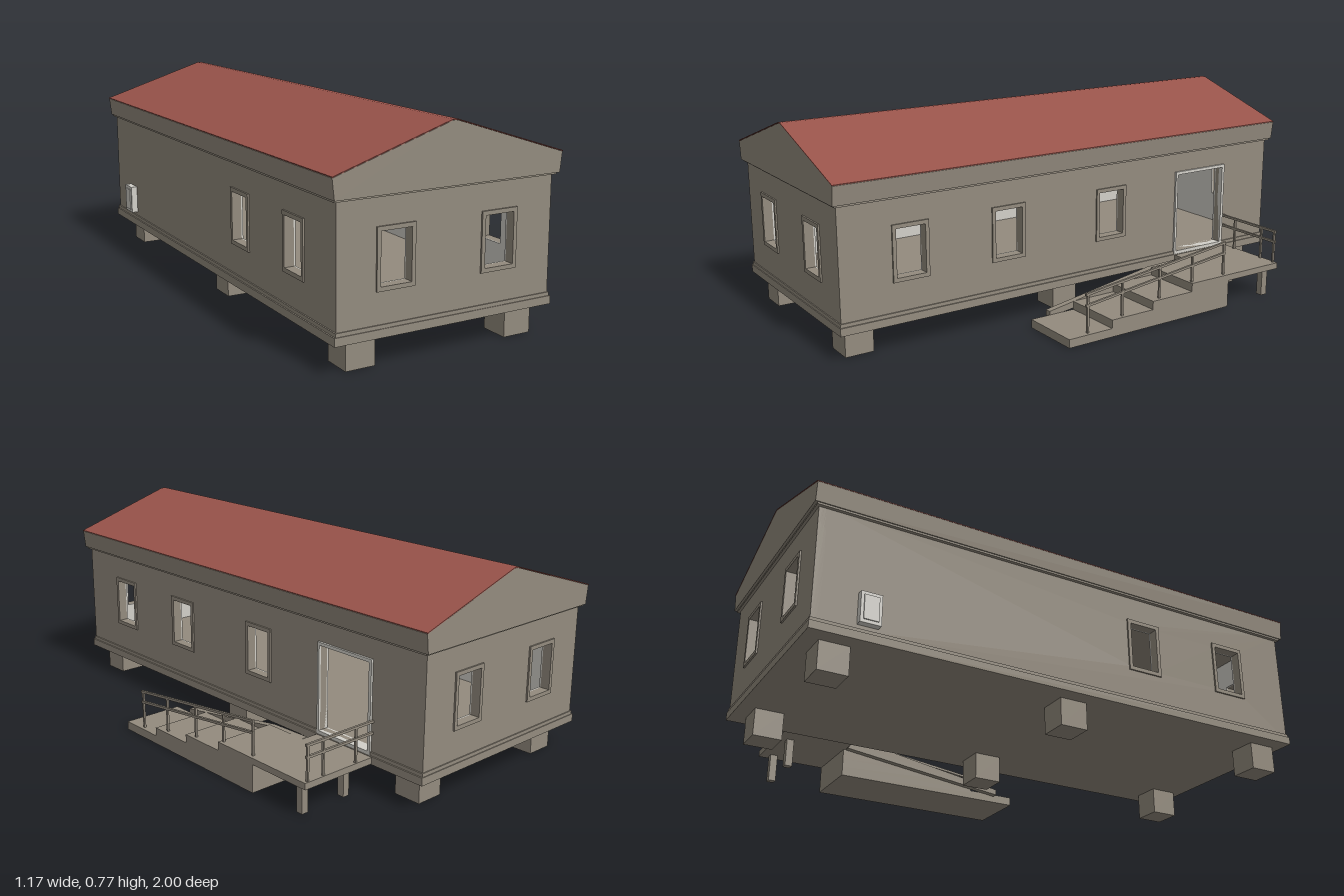
import * as THREE from 'three';

const mat = (name, color) => {
  const m = new THREE.MeshStandardMaterial({ color });
  m.name = name;
  return m;
};

export function createModel() {
  const root = new THREE.Group();
  root.name = 'raisedCabin';
  const taupe = mat('taupe', 0x938b7e);
  const red = mat('roofRed', 0x98534a);
  const light = mat('paleGrey', 0xd2d0c9);

  const add = (name, geo, m, parent = root) => {
    const mesh = new THREE.Mesh(geo, m);
    mesh.name = name;
    parent.add(mesh);
    return mesh;
  };
  // box given by its min and max on each axis
  const box = (name, m, x0, x1, y0, y1, z0, z1, parent) =>
    add(name, new THREE.BoxGeometry(x1 - x0, y1 - y0, z1 - z0), m, parent)
      .position.set((x0 + x1) / 2, (y0 + y1) / 2, (z0 + z1) / 2);
  const extrude = (pts, depth, holes = []) => {
    const s = new THREE.Shape(pts.map(p => new THREE.Vector2(...p)));
    for (const [a, b, c, d] of holes)
      s.holes.push(new THREE.Path([[a, c], [a, d], [b, d], [b, c]].map(p => new THREE.Vector2(...p))));
    return new THREE.ExtrudeGeometry(s, { depth, bevelEnabled: false });
  };
  const rect = (a, b, c, d) => [[a, c], [b, c], [b, d], [a, d]];
  // panel spanning u,y; side panels run along z and grow towards -x
  const panel = (name, m, outline, holes, at, depth, side) => {
    const mesh = add(name, extrude(outline, depth, holes), m);
    if (side) {
      mesh.rotation.y = -Math.PI / 2;
      mesh.position.x = at + depth;
    } else mesh.position.z = at;
  };

  // walls with window openings, pale inner lining and raised frames
  const opening = c => [c - 0.057, c + 0.057, 0.268, 0.445];
  const door = [-0.735, -0.495, 0.145, 0.465];
  const walls = [
    { n: 'front', side: false, out: 0.98, dir: 1, u: [-0.56, 0.265], win: [-0.348, 0.05] },
    { n: 'back', side: false, out: -0.98, dir: -1, u: [-0.56, 0.265], win: [-0.348, 0.05] },
    { n: 'left', side: true, out: 0.265, dir: 1, u: [-0.98, 0.98], win: [0.71, 0.31, -0.16], door },
    { n: 'right', side: true, out: -0.56, dir: -1, u: [-0.98, 0.98], win: [0.71, 0.31] },
  ];
  for (const w of walls) {
    const holes = w.win.map(opening);
    if (w.door) holes.push(w.door);
    const layer = (name, m, outline, hs, inset, depth) =>
      panel(name, m, outline, hs, w.dir > 0 ? w.out - inset - depth : w.out + inset, depth, w.side);
    layer(w.n + 'Wall', taupe, rect(w.u[0], w.u[1], 0.12, 0.57), holes, 0, 0.03);
    layer(w.n + 'Lining', light, rect(w.u[0] + 0.03, w.u[1] - 0.03, 0.14, 0.565), holes, 0.03, 0.006);
    for (const c of w.win)
      layer(w.n + 'WindowFrame', taupe, rect(c - 0.071, c + 0.071, 0.253, 0.46), [opening(c)], -0.006, 0.025);
    if (w.door)
      layer('doorFrame', light, rect(-0.747, -0.485, 0.131, 0.477), [w.door], -0.008, 0.045);
  }

  // floor slab with stepped plinth, and trim under the eaves
  box('floorSlab', taupe, -0.57, 0.275, 0.103, 0.132, -0.987, 0.987);
  box('plinth', taupe, -0.565, 0.27, 0.132, 0.145, -0.984, 0.984);
  box('eavesTrim', taupe, -0.573, 0.278, 0.553, 0.562, -0.99, 0.99);

  // roof body with gables, covered by a thin red skin
  const slope = [[0.291, 0.632], [-0.137, 0.769], [-0.157, 0.769], [-0.585, 0.632]];
  add('roofBody', extrude([[-0.577, 0.56], [0.283, 0.56], ...slope.map(([x, y]) => [x, y - 0.002])], 1.998), taupe)
    .position.z = -0.999;
  const skin = slope.map(([x, y]) => [x, y + 0.002]);
  add('roofSkin', extrude([...skin, ...[...slope].reverse().map(([x, y]) => [x, y - 0.001])], 2), red)
    .position.z = -1;

  // footings
  for (const x of [-0.455, 0.165])
    for (const z of [0.895, 0.025, -0.875])
      box('footing', taupe, x - 0.054, x + 0.054, 0, 0.104, z - 0.054, z + 0.054);

  // wall unit beside the back corner
  box('wallUnit', light, -0.585, -0.559, 0.16, 0.272, -0.825, -0.75);
  box('wallUnitPanel', light, -0.589, -0.584, 0.172, 0.26, -0.814, -0.761);

  // landing and its posts
  box('landing', taupe, 0.27, 0.582, 0.106, 0.13, -0.76, -0.488);
  for (const x of [0.36, 0.55]) box('landingPost', taupe, x - 0.013, x + 0.013, 0, 0.107, -0.725, -0.697);

  // solid steps
  for (let i = 0; i < 4; i++)
    box('step', taupe, 0.342, 0.582, i * 0.0325, (i + 1) * 0.0325, -0.495, 0.262 - i * 0.19);
  // sloping stringer on the wall side
  panel('stringer', taupe, [[0.18, 0.025], [0.18, 0.047], [-0.31, 0.125], [-0.485, 0.13], [-0.485, 0.105]],
    [], 0.318, 0.025, true);

  // handrails
  const bar = (name, a, b, t = 0.009) => {
    const p = new THREE.Vector3(...a), q = new THREE.Vector3(...b);
    const m = add(name, new THREE.BoxGeometry(t, t, p.distanceTo(q)), taupe);
    m.position.copy(p).add(q).multiplyScalar(0.5);
    m.lookAt(q);
  };
  for (const y of [0.257, 0.215]) {
    bar('landingRail', [0.265, y, -0.752], [0.572, y, -0.752]);
    bar('stairRail', [0.565, y, -0.485], [0.565, y - 0.08, 0.18]);
  }
  for (const x of [0.345, 0.495, 0.565])
    box('landingRailPost', taupe, x - 0.004, x + 0.004, 0.125, 0.26, -0.756, -0.748);
  for (const z of [-0.48, -0.32, -0.16, 0.015, 0.17]) {
    const tread = 0.0325 * Math.min(4, Math.ceil((0.262 - z) / 0.19));
    box('stairRailPost', taupe, 0.561, 0.569, tread - 0.005, 0.257 - 0.08 * (z + 0.485) / 0.665, z - 0.004, z + 0.004);
  }
  return root;
}
